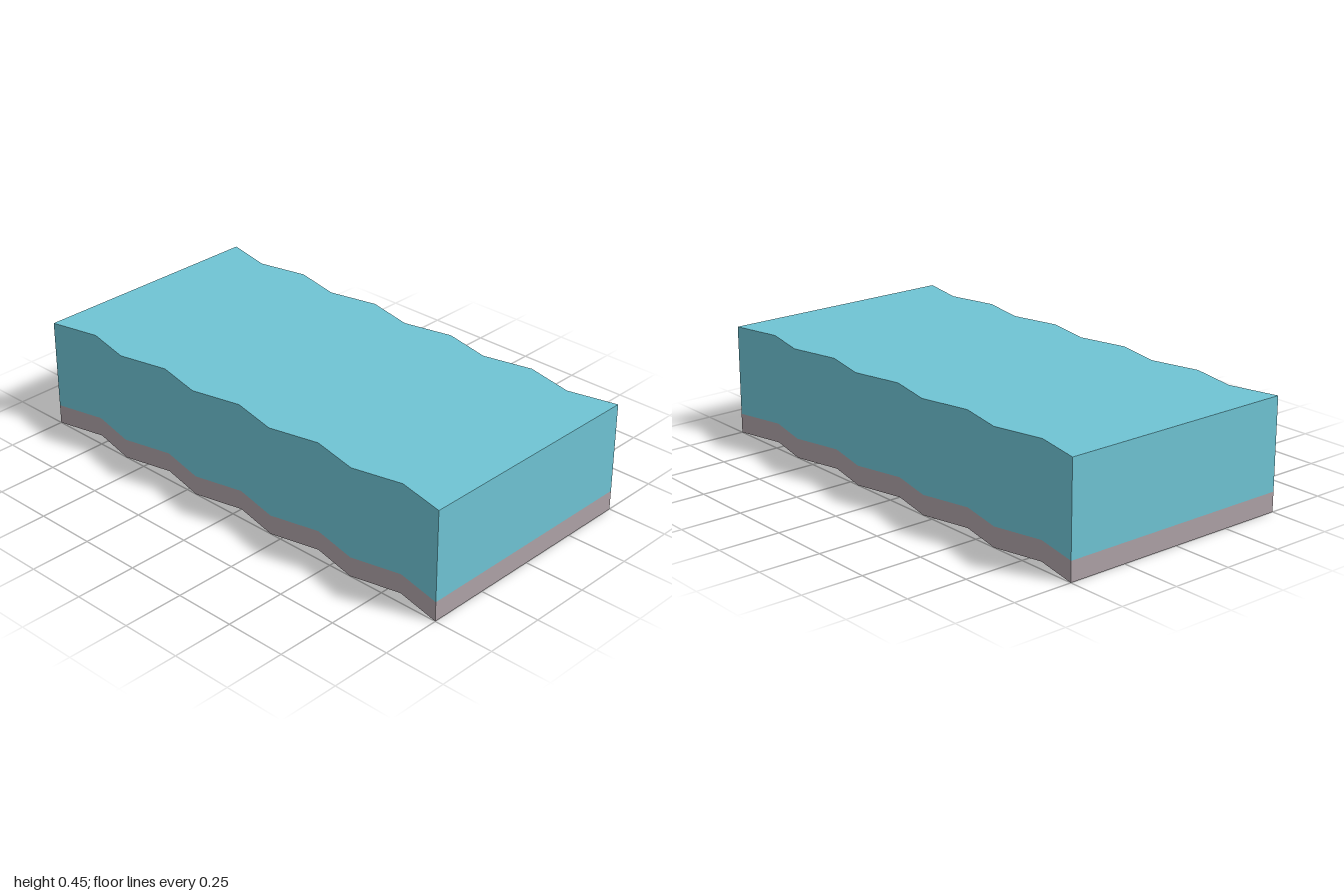
import * as THREE from 'three';

// Zigzag outline: straight ends, pleated long sides
function pleatedOutline() {
  const right = [];
  for (let i = 0; i <= 10; i++) {
    right.push(new THREE.Vector2(i % 2 ? 0.455 : 0.5, -1 + i * 0.2));
  }
  const left = right.map(p => new THREE.Vector2(-p.x, p.y)).reverse();
  return new THREE.Shape([...right, ...left]);
}

// Flat-faced slab of the outline between two heights
function slab(name, bottom, top, color) {
  const geometry = new THREE.ExtrudeGeometry(pleatedOutline(), { depth: top - bottom, bevelEnabled: false });
  geometry.rotateX(-Math.PI / 2).translate(0, bottom, 0);
  const mesh = new THREE.Mesh(geometry, new THREE.MeshStandardMaterial({ color, flatShading: true }));
  mesh.name = name;
  return mesh;
}

export function createModel() {
  const model = new THREE.Group();
  model.name = 'pleatedBlock';
  model.add(
    slab('base', 0, 0.08, 0xaea2a7),
    slab('body', 0.08, 0.45, 0x6fc4d4)
  );
  return model;
}
